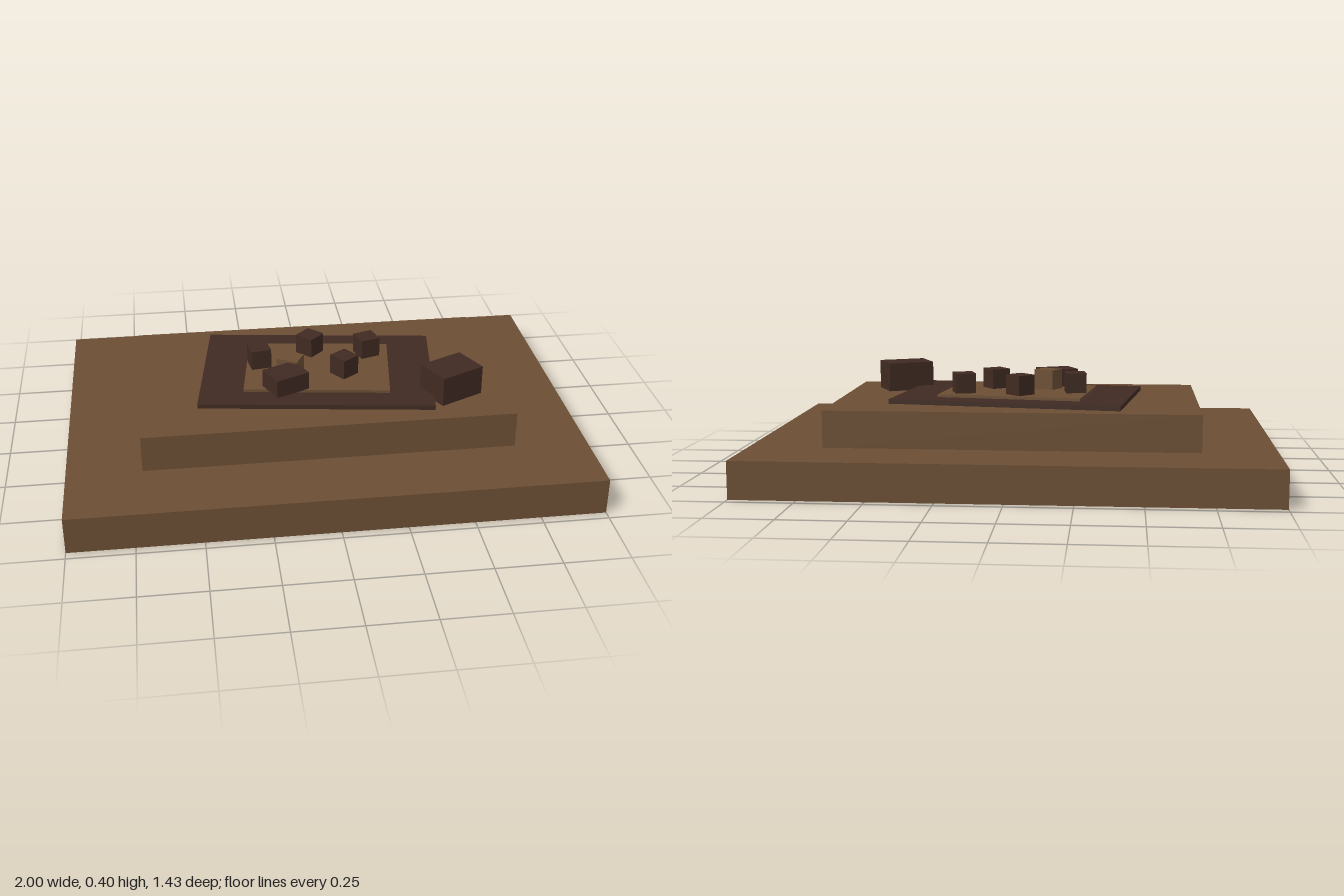
import * as THREE from 'three';

export function createModel() {
  const model = new THREE.Group();
  const earth = new THREE.MeshStandardMaterial({ color: 0x6b4e34 });
  earth.name = 'earth brown';
  const char = new THREE.MeshStandardMaterial({ color: 0x3f2a22 });
  char.name = 'dark brown';

  // Box standing on height y, turned about the vertical by a number of degrees
  function block(name, material, [w, h, d], [x, y, z], degrees = 0) {
    const mesh = new THREE.Mesh(new THREE.BoxGeometry(w, h, d), material);
    mesh.name = name;
    mesh.position.set(x, y + h / 2, z);
    mesh.rotation.y = THREE.MathUtils.degToRad(degrees);
    model.add(mesh);
  }

  // Stepped base
  block('lowerTier', earth, [2, 0.143, 1.429], [0, 0, 0]);
  block('upperTier', earth, [1.429, 0.143, 0.857], [0, 0.143, 0]);

  // Turned slabs on top
  block('darkSlab', char, [0.914, 0.018, 0.6], [0, 0.286, 0], -8);
  block('lightSlab', earth, [0.571, 0.011, 0.4], [0, 0.304, 0], -8);

  // Scattered small cubes: x, z, turn
  const cubes = [
    [-0.015, -0.133, 45],
    [-0.23, -0.045, 9],
    [0.213, -0.088, 18],
    [0.098, 0.07, 36],
  ];
  cubes.forEach(([x, z, turn], i) =>
    block(`smallCube${i + 1}`, char, [0.08, 0.08, 0.08], [x, 0.314, z], turn));

  // Larger loose blocks
  block('lightCube', earth, [0.086, 0.08, 0.075], [-0.115, 0.314, 0.055], -28);
  block('mediumBlock', char, [0.143, 0.072, 0.114], [-0.145, 0.314, 0.16], 25);
  block('largeBlock', char, [0.19, 0.117, 0.145], [0.498, 0.286, 0.228], 26);

  return model;
}
